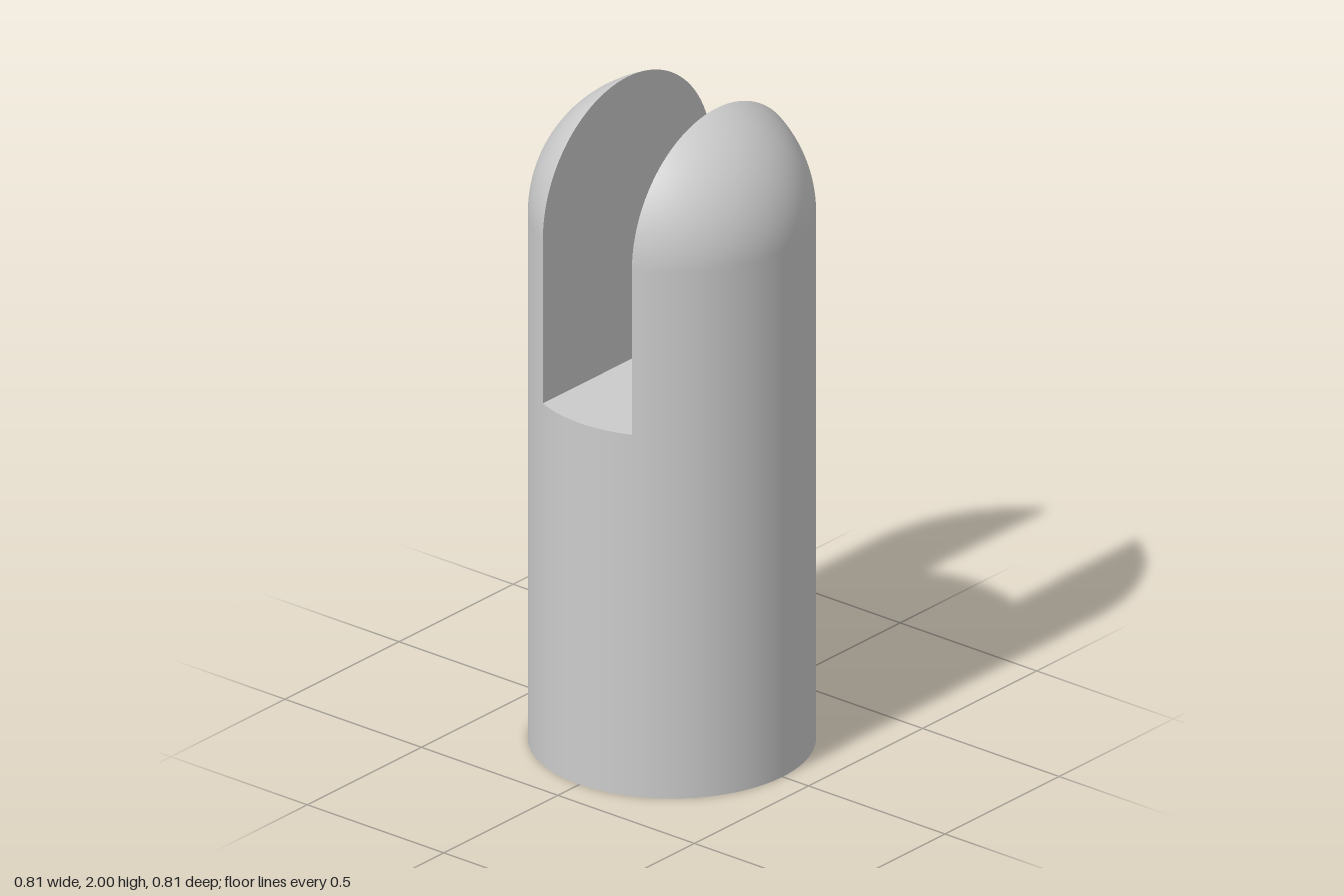
import * as THREE from 'three';

const R = 0.405;                               // body radius
const SLOT = 0.163;                            // half width of the slot
const FLOOR = 1.12;                            // height of the slot floor
const DOME = 2 - Math.sqrt(R * R - SLOT * SLOT); // height of the dome centre
const ANGLE = Math.asin(SLOT / R);

// Arch outline of half width w: up one side, over the dome, down the other
function arch(w, steps = 64) {
  const pts = [new THREE.Vector2(w, FLOOR)];
  for (let j = 0; j <= steps; j++) {
    const a = (Math.PI * j) / steps;
    pts.push(new THREE.Vector2(w * Math.cos(a), DOME + w * Math.sin(a)));
  }
  pts.push(new THREE.Vector2(-w, FLOOR));
  return pts;
}

// Rounded outside of one prong: arches that shrink from the slot to the outer edge
function prongShell(rows = 40) {
  const pos = [], nor = [], idx = [];
  let n = 0;
  for (let i = 0; i <= rows; i++) {
    const t = THREE.MathUtils.lerp(ANGLE, Math.PI / 2, i / rows);
    const z = R * Math.sin(t);
    const pts = arch(R * Math.cos(t));
    n = pts.length;
    for (const p of pts) {
      pos.push(p.x, p.y, z);
      nor.push(p.x / R, Math.max(p.y - DOME, 0) / R, z / R);
    }
  }
  for (let i = 0; i < rows; i++) {
    for (let j = 0; j < n - 1; j++) {
      const a = i * n + j, b = a + 1, c = a + n, d = c + 1;
      idx.push(a, b, c, b, d, c);
    }
  }
  const g = new THREE.BufferGeometry();
  g.setAttribute('position', new THREE.Float32BufferAttribute(pos, 3));
  g.setAttribute('normal', new THREE.Float32BufferAttribute(nor, 3));
  g.setIndex(idx);
  return g;
}

export function createModel() {
  const model = new THREE.Group();
  model.name = 'slottedPin';
  const material = new THREE.MeshStandardMaterial({ color: 0xcccccc });
  const add = (parent, name, geometry) => {
    const mesh = new THREE.Mesh(geometry, material);
    mesh.name = name;
    parent.add(mesh);
  };

  // Round shaft and its flat underside
  add(model, 'shaft', new THREE.CylinderGeometry(R, R, FLOOR, 128, 1, true).translate(0, FLOOR / 2, 0));
  add(model, 'underside', new THREE.CircleGeometry(R, 128).rotateX(Math.PI / 2));

  // Slot floor: a disc trimmed by the two slot walls
  const floor = new THREE.Shape();
  floor.absarc(0, 0, R, -ANGLE, ANGLE, false);
  floor.absarc(0, 0, R, Math.PI - ANGLE, Math.PI + ANGLE, false);
  add(model, 'slotFloor', new THREE.ShapeGeometry(floor, 32).rotateX(-Math.PI / 2).translate(0, FLOOR, 0));

  // Two domed prongs, front and back
  const shell = prongShell();
  const wall = new THREE.ShapeGeometry(new THREE.Shape(arch(R * Math.cos(ANGLE))))
    .rotateY(Math.PI).translate(0, 0, SLOT);
  ['frontProng', 'backProng'].forEach((name, i) => {
    const prong = new THREE.Group();
    prong.name = name;
    add(prong, name + 'Shell', shell);
    add(prong, name + 'SlotWall', wall);
    prong.rotation.y = i * Math.PI;
    model.add(prong);
  });

  return model;
}
